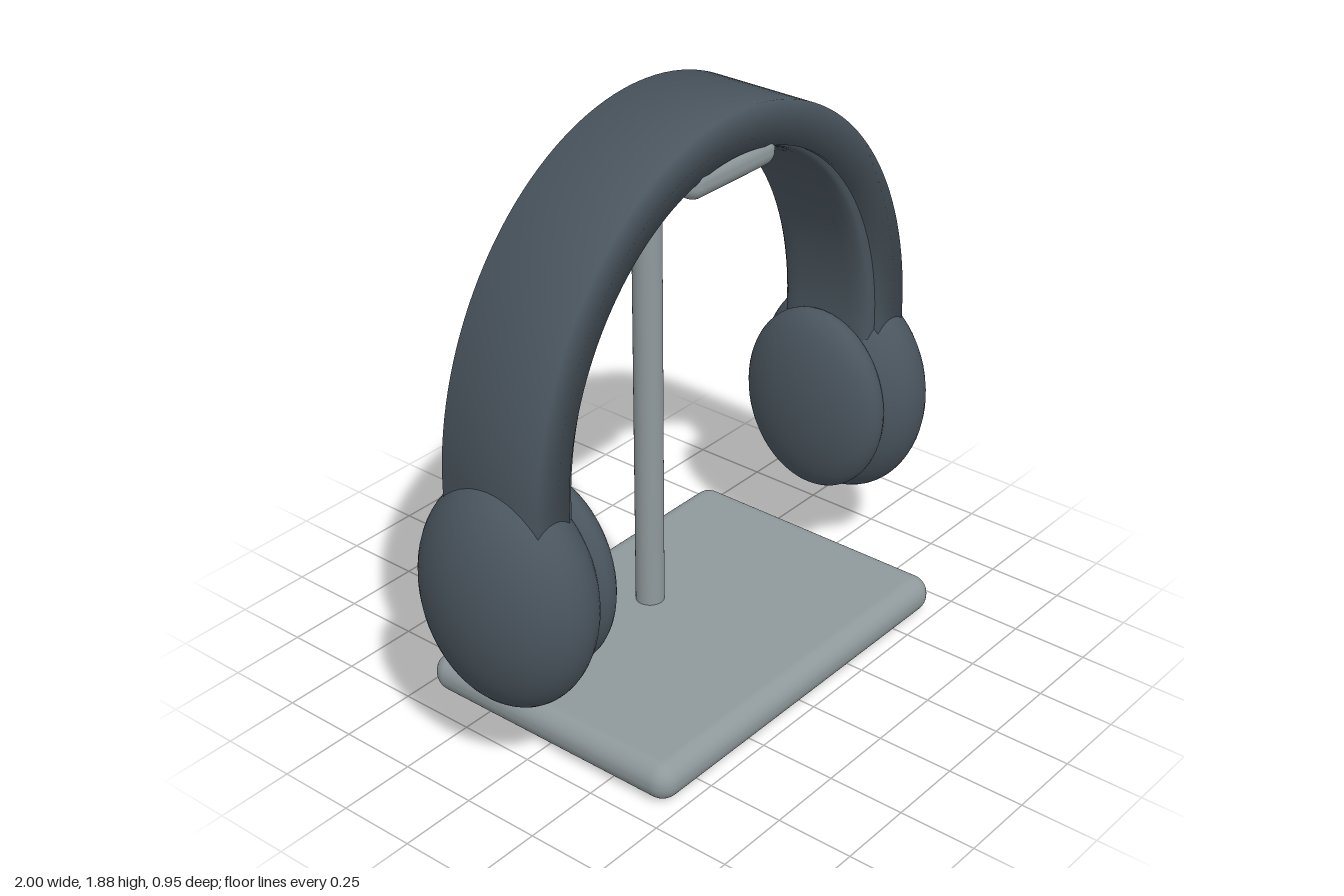
import * as THREE from 'three';
import { RoundedBoxGeometry } from 'three/addons/geometries/RoundedBoxGeometry.js';

const dark = new THREE.MeshStandardMaterial({ color: 0x4a555e });
const grey = new THREE.MeshStandardMaterial({ color: 0x8f999c });

function add(parent, name, geometry, material, x = 0, y = 0, z = 0) {
  const mesh = new THREE.Mesh(geometry, material);
  mesh.name = name;
  mesh.position.set(x, y, z);
  parent.add(mesh);
  return mesh;
}

// Sweeps a section of [u, z] points along an arch with straight lower legs.
// u = 0 lies on the inner ellipse, u = 1 on the outer one.
function archGeometry(inner, outer, section, springY, footY, steps = 72) {
  const positions = [], index = [], n = section.length;
  for (let i = -1; i <= steps + 1; i++) {
    const angle = Math.PI * THREE.MathUtils.clamp(i / steps, 0, 1);
    const isFoot = i < 0 || i > steps;
    for (const [u, z] of section) {
      const rx = THREE.MathUtils.lerp(inner[0], outer[0], u);
      const ry = THREE.MathUtils.lerp(inner[1], outer[1], u);
      positions.push(rx * Math.cos(angle), isFoot ? footY : springY + ry * Math.sin(angle), z);
    }
  }
  for (let i = 0; i < steps + 2; i++) {
    for (let j = 0; j < n; j++) {
      const a = i * n + j, b = i * n + (j + 1) % n;
      index.push(a, b, a + n, b, b + n, a + n);
    }
  }
  const geometry = new THREE.BufferGeometry();
  geometry.setAttribute('position', new THREE.Float32BufferAttribute(positions, 3));
  geometry.setIndex(index);
  geometry.computeVertexNormals();
  return geometry;
}

function ellipsoid(rx, ry, rz) {
  return new THREE.SphereGeometry(1, 48, 32).scale(rx, ry, rz);
}

export function createModel() {
  const model = new THREE.Group();
  model.name = 'headphonesOnStand';

  // Stand: base plate, post set towards the back, and the saddle on top
  const stand = new THREE.Group();
  stand.name = 'stand';
  model.add(stand);
  add(stand, 'base', new RoundedBoxGeometry(1.36, 0.125, 0.95, 6, 0.06), grey, 0, 0.0625, 0);
  add(stand, 'post', new THREE.CylinderGeometry(0.046, 0.046, 1.56, 32), grey, 0, 0.88, -0.155);
  add(stand, 'saddle', new RoundedBoxGeometry(0.39, 0.1, 0.37, 5, 0.045), grey, 0, 1.703, 0);

  // Headphones: wide band with a softer pad along its inside
  const headphones = new THREE.Group();
  headphones.name = 'headphones';
  model.add(headphones);
  const w = 0.18;
  const bandSection = [[1, w], [1, -w], [0, -w], [0, w]];
  add(headphones, 'headband',
    archGeometry([0.73, 0.81], [0.86, 0.945], bandSection, 0.93, 0.8), dark);

  const padSection = [];
  for (let k = 0; k < 20; k++) {
    const a = (k / 20) * Math.PI * 2, c = Math.cos(a), s = Math.sin(a);
    padSection.push([0.5 + 0.5 * Math.sign(c) * Math.sqrt(Math.abs(c)),
      -0.165 * Math.sign(s) * Math.sqrt(Math.abs(s))]);
  }
  add(headphones, 'headbandPad',
    archGeometry([0.677, 0.797], [0.79, 0.86], padSection, 0.93, 0.8), dark);

  // Ear cups with cushions facing inwards
  for (const [side, name] of [[1, 'left'], [-1, 'right']]) {
    add(headphones, name + 'EarCup', ellipsoid(0.2, 0.365, 0.3), dark, side * 0.8, 0.625, 0);
    add(headphones, name + 'EarCushion', ellipsoid(0.11, 0.315, 0.26), dark, side * 0.65, 0.632, 0);
  }
  return model;
}
